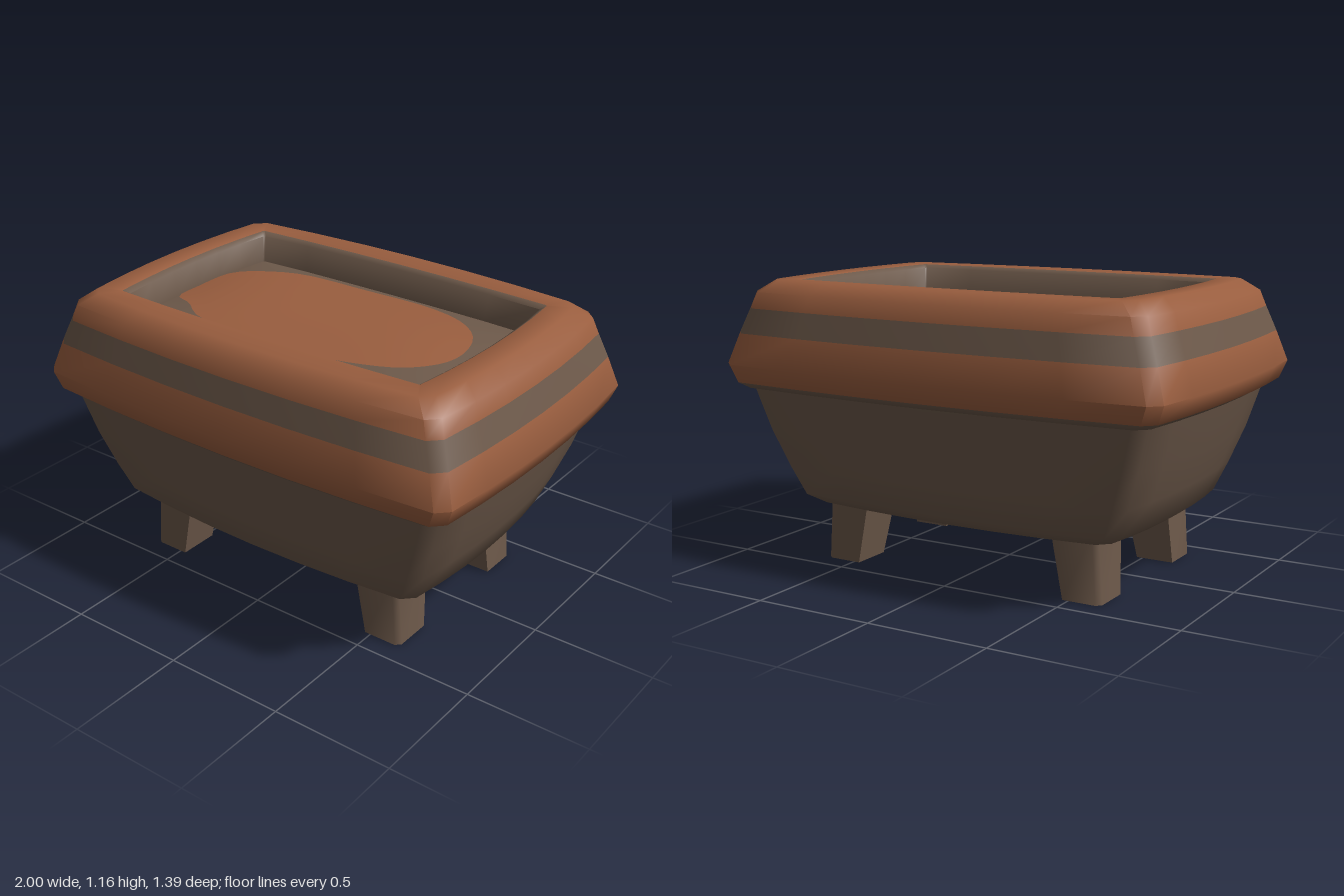
import * as THREE from 'three';
import { toCreasedNormals } from 'three/addons/utils/BufferGeometryUtils.js';

const stone = new THREE.MeshStandardMaterial({ color: 0x6d594a });
stone.name = 'stone';
const clay = new THREE.MeshStandardMaterial({ color: 0x9a5e3f });
clay.name = 'clay';
const STONE = 0, CLAY = 1;

// Rectangle with bulging sides and cut corners, as a closed loop of points.
function ring({ hx, hz, y, c = 0.045, bx = 0.035, bz = 0.04 }) {
  const steps = 6, half = [];
  for (let i = 0; i <= steps; i++) {
    const t = -1 + (2 * i) / steps;
    half.push([hx - bx * t * t, y, t * (hz - bz - c)]);
  }
  for (let i = 0; i <= steps; i++) {
    const t = 1 - (2 * i) / steps;
    half.push([t * (hx - bx - c), y, hz - bz * t * t]);
  }
  return [...half, ...half.map(([x, , z]) => [-x, y, -z])];
}

// Loop shrunk to one point, used to close an end.
const closeAt = (loop, x, y, z) => loop.map(() => [x, y, z]);

// Skin a stack of loops; bands holds one material index per gap.
function loft(rings, bands = [], crease = 0.9) {
  const n = rings[0].length, index = [];
  const geo = new THREE.BufferGeometry();
  for (let r = 0; r < rings.length - 1; r++) {
    geo.addGroup(index.length, n * 6, bands[r] ?? STONE);
    for (let j = 0; j < n; j++) {
      const k = (j + 1) % n;
      const a = r * n + j, b = r * n + k, c = a + n, d = b + n;
      index.push(a, c, b, b, c, d);
    }
  }
  geo.setAttribute('position', new THREE.Float32BufferAttribute(rings.flat(2), 3));
  geo.setIndex(index);
  return toCreasedNormals(geo, crease);
}

// Gently domed floor of the hollow.
const floorY = (x, z) =>
  1.03 + 0.045 * Math.max(0, 1 - (z / 0.42) ** 2) * Math.max(0, 1 - (x / 0.71) ** 4);

// Loops shrinking from an outline to its centre, laid on the floor.
function domeLoops(outline, cx, cz, lift) {
  const steps = 8;
  return Array.from({ length: steps + 1 }, (_, i) => outline.map(([px, , pz]) => {
    const x = cx + (px - cx) * (1 - i / steps);
    const z = cz + (pz - cz) * (1 - i / steps);
    return [x, floorY(x, z) + lift, z];
  }));
}

function addMesh(parent, name, geometry, material) {
  const mesh = new THREE.Mesh(geometry, material);
  mesh.name = name;
  parent.add(mesh);
}

// Square leg section whose outer corner is softened.
function legLoop(sx, sz, cx, cz, hx, hz, y) {
  const c = 0.02;
  const loop = [[-hx, -hz], [hx, -hz], [hx, hz - c], [hx - c, hz], [-hx, hz]]
    .map(([x, z]) => [sx * (cx + x), y, sz * (cz + z)]);
  return sx * sz > 0 ? loop : loop.reverse();
}

export function createModel() {
  const group = new THREE.Group();
  group.name = 'planter';
  const materials = [stone, clay];

  // Tapered bowl
  const bowl = [
    [0.70, 0.47, 0.24], [0.76, 0.525, 0.28], [0.81, 0.562, 0.4],
    [0.865, 0.602, 0.55], [0.92, 0.64, 0.74],
  ].map(([hx, hz, y]) => ring({ hx, hz, y }));
  addMesh(group, 'bowl', loft([closeAt(bowl[0], 0, 0.24, 0), ...bowl]), materials);

  // Heavy rim with a painted stripe, turning down into the hollow
  const rim = [
    [0.89, 0.62, 0.725], [0.932, 0.65, 0.725], [0.972, 0.677, 0.748], [1.0, 0.695, 0.82],
    [0.959, 0.664, 0.945], [0.922, 0.637, 1.045], [0.9, 0.62, 1.11], [0.84, 0.565, 1.157],
  ].map(([hx, hz, y]) => ring({ hx, hz, y }));
  const hollow = [
    [0.74, 0.46, 1.155], [0.72, 0.44, 1.14], [0.71, 0.42, 1.03],
  ].map(([hx, hz, y]) => ring({ hx, hz, y, c: 0.006, bx: 0.028, bz: 0.018 }));
  addMesh(group, 'rim', loft(
    [...rim, ...hollow],
    [STONE, STONE, CLAY, CLAY, STONE, CLAY, CLAY, CLAY, STONE, STONE],
  ), materials);

  // Domed floor with an uneven clay patch
  addMesh(group, 'floor', loft(domeLoops(hollow[2], 0, 0, 0)), stone);
  const outline = new THREE.CatmullRomCurve3([
    [-0.695, -0.18], [-0.56, -0.27], [-0.4, -0.345], [-0.1, -0.36], [0.2, -0.37], [0.4, -0.31],
    [0.53, -0.2], [0.585, -0.05], [0.57, 0.08], [0.48, 0.2], [0.32, 0.27], [0.15, 0.3],
    [-0.2, 0.305], [-0.46, 0.28], [-0.58, 0.2], [-0.69, 0.14], [-0.705, 0],
  ].map(([x, z]) => new THREE.Vector3(x, 0, z)), true);
  const patchEdge = outline.getPoints(48).slice(0, -1).map((p) => p.toArray());
  addMesh(group, 'floorPatch', loft(domeLoops(patchEdge, -0.06, -0.03, 0.006)), clay);

  // Four splayed, tapering legs
  for (const sx of [1, -1]) {
    for (const sz of [1, -1]) {
      const foot = legLoop(sx, sz, 0.555, 0.327, 0.08, 0.087, 0);
      const top = legLoop(sx, sz, 0.52, 0.312, 0.097, 0.102, 0.27);
      const leg = loft([closeAt(foot, sx * 0.555, 0, sz * 0.327), foot, top]);
      addMesh(group, (sz > 0 ? 'front' : 'back') + (sx > 0 ? 'Left' : 'Right') + 'Leg', leg, stone);
    }
  }
  return group;
}
